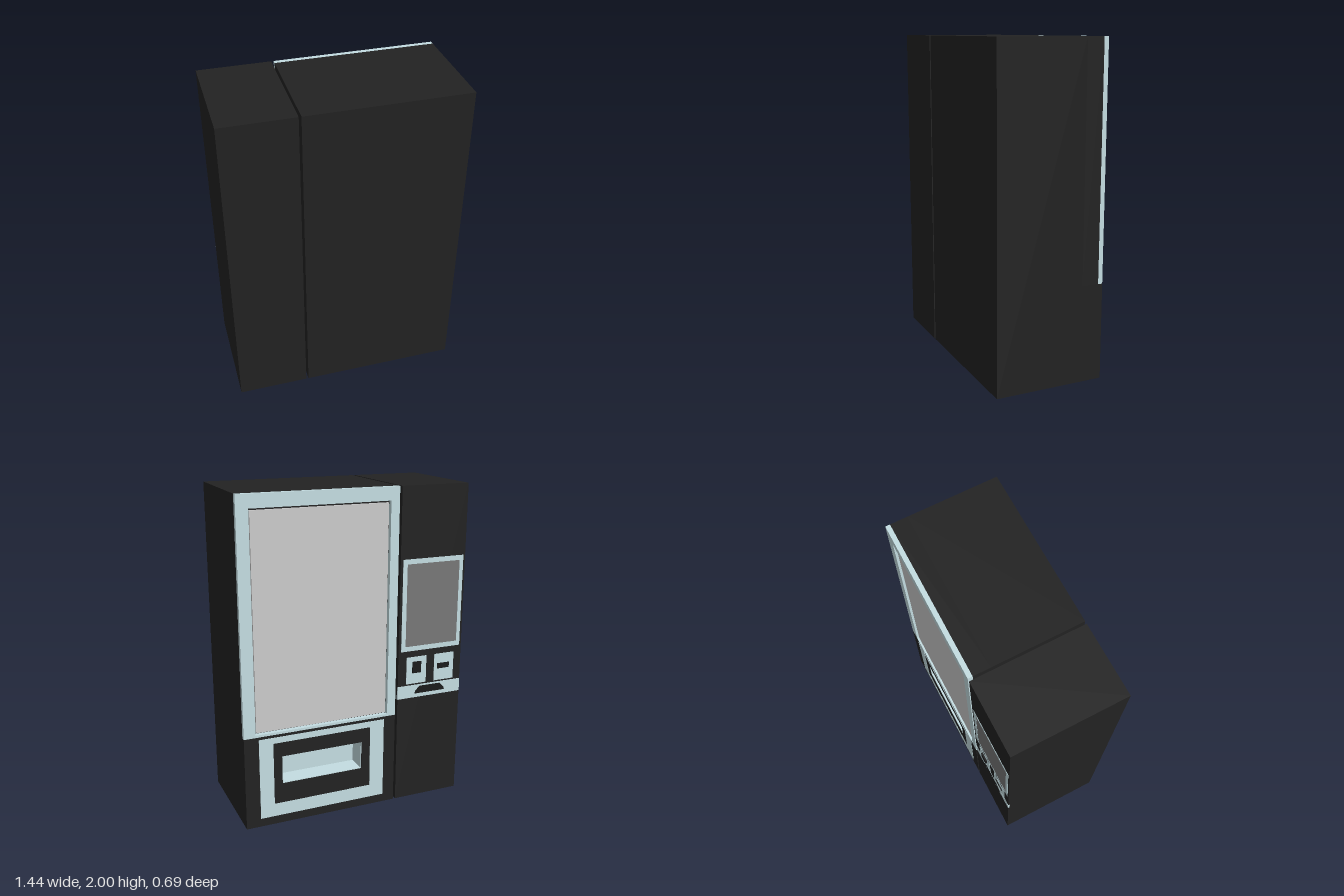
import * as THREE from 'three';

const material = (color) => new THREE.MeshStandardMaterial({ color });

export function createModel() {
  const model = new THREE.Group();
  const dark = material(0x222222);
  const black = material(0x1b1b1b);
  const trim = material(0xc4dde2);
  const glass = material(0xcccccc);
  const display = material(0x777777);
  const FRONT = -0.333, BACK = 0.343; // the machine's door side faces -z

  const add = (name, geometry, mat) => {
    const mesh = new THREE.Mesh(geometry, mat);
    mesh.name = name;
    model.add(mesh);
    return mesh;
  };

  // Box between two corners; rect = [x0, x1, y0, y1]
  const box = (name, [x0, x1, y0, y1], z0, z1, mat) => {
    const mesh = add(name, new THREE.BoxGeometry(x1 - x0, y1 - y0, z1 - z0), mat);
    mesh.position.set((x0 + x1) / 2, (y0 + y1) / 2, (z0 + z1) / 2);
    return mesh;
  };

  // Rectangular plate with a rectangular window
  const corners = ([x0, x1, y0, y1]) =>
    [[x0, y0], [x1, y0], [x1, y1], [x0, y1]].map(([x, y]) => new THREE.Vector2(x, y));
  const frame = (name, outer, inner, z0, z1, mat) => {
    const shape = new THREE.Shape(corners(outer));
    shape.holes.push(new THREE.Path(corners(inner).reverse()));
    const geometry = new THREE.ExtrudeGeometry(shape, { depth: z1 - z0, bevelEnabled: false });
    geometry.translate(0, 0, z0);
    return add(name, geometry, mat);
  };

  // Main cabinet
  const L = -0.263, R = 0.718, SPLIT = 0.587;
  box('mainCabinet', [L, R, 0, 2], -0.2, BACK, dark);
  box('displayBacking', [L, R, SPLIT, 2], -0.305, -0.2, dark);

  // Display window: frame with a slightly smaller pane set into it
  frame('displayFrame', [L, R, SPLIT, 2], [-0.208, 0.645, 0.602, 1.92], FRONT, -0.305, trim);
  box('displayPane', [-0.2, 0.637, 0.61, 1.908], -0.32, -0.305, glass);

  // Lower front with the delivery opening
  const [x0, x1, y0, y1] = [-0.035, 0.485, 0.262, 0.44];
  frame('lowerFront', [L, R, 0, SPLIT], [x0, x1, y0, y1], FRONT, -0.2, dark);
  frame('deliveryFrame', [-0.186, 0.628, 0.053, 0.57], [-0.092, 0.539, 0.135, 0.532],
    FRONT - 0.002, FRONT + 0.01, trim);

  // Liner of the delivery opening
  const t = 0.004;
  box('chuteBack', [x0, x1, y0, y1], -0.21, -0.2, trim);
  box('chuteFloor', [x0, x1, y0, y0 + t], FRONT + 0.002, -0.2, trim);
  for (const x of [x0, x1 - t]) box('chuteSide', [x, x + t, y0, y1], FRONT + 0.002, -0.2, trim);

  // Control cabinet
  box('controlCabinet', [-0.718, -0.278, 0, 2], FRONT, BACK, dark);

  // Touch screen
  frame('screenFrame', [-0.705, -0.295, 0.993, 1.568], [-0.68, -0.324, 1.023, 1.538],
    FRONT - 0.002, FRONT + 0.01, trim);
  box('screen', [-0.68, -0.324, 1.023, 1.538], FRONT - 0.001, FRONT + 0.01, display);

  // Payment pads with card reader and note slot
  for (const x of [-0.473, -0.667]) {
    box('paymentPad', [x, x + 0.138, 0.778, 0.953], FRONT - 0.002, FRONT + 0.01, trim);
  }
  box('cardReader', [-0.432, -0.375, 0.85, 0.922], -0.345, FRONT, black);
  box('noteSlot', [-0.635, -0.55, 0.855, 0.89], -0.337, FRONT, black);

  // Band with the change tray
  box('trayBand', [-0.718, -0.278, 0.685, 0.768], FRONT - 0.002, FRONT + 0.01, trim);
  const tray = new THREE.Shape([[-0.607, 0.71], [-0.395, 0.71], [-0.4, 0.727], [-0.43, 0.757],
    [-0.572, 0.757], [-0.602, 0.727]].map(([x, y]) => new THREE.Vector2(x, y)));
  const trayGeometry = new THREE.ExtrudeGeometry(tray, { depth: 0.01, bevelEnabled: false });
  trayGeometry.translate(0, 0, FRONT - 0.004);
  add('changeTray', trayGeometry, black);

  return model;
}
